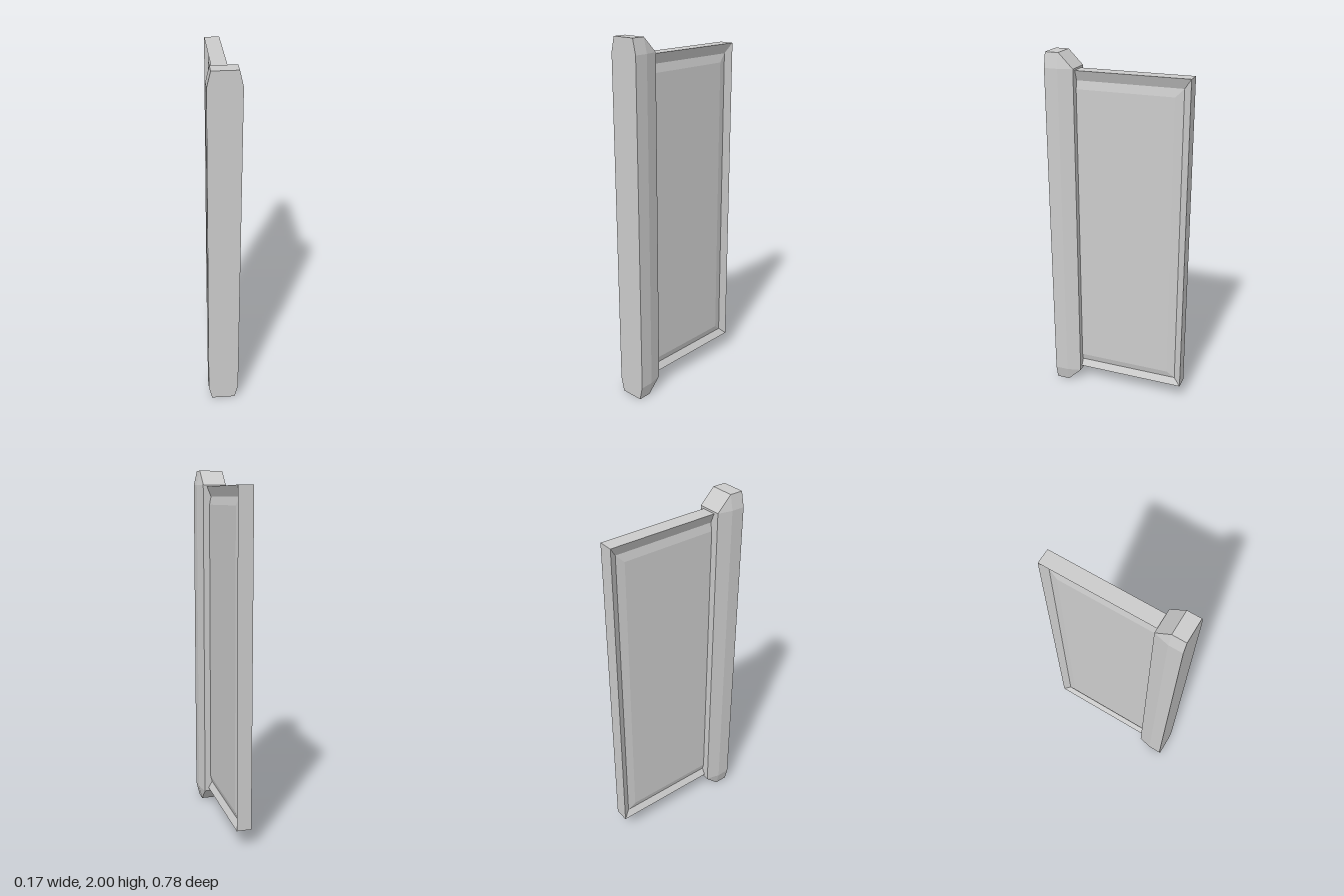
import * as THREE from 'three';
import { ConvexGeometry } from 'three/addons/geometries/ConvexGeometry.js';

const material = new THREE.MeshStandardMaterial({ color: 0xcccccc, flatShading: true });

// Edge post: octagonal front slab tapering to a smaller rectangle at the back
function postGeometry() {
  const points = [];
  for (const sx of [-1, 1]) {
    for (const sy of [-1, 1]) {
      const add = (x, y, z) => points.push(new THREE.Vector3(sx * x, 1 + sy * y, z));
      for (const z of [0.39, 0.315]) {
        add(0.085, 0.92, z);
        add(0.066, 1, z);
      }
      add(0.066, 0.92, 0.235);
    }
  }
  return new ConvexGeometry(points);
}

// Panel: rings lofted along x, open where they meet the post
function panelGeometry() {
  const front = 0.24, centre = 0.003;
  // half thickness, bottom, top, back: raised field, groove, outer rim
  const steps = [
    [0.027, 0.175, 1.81, -0.305],
    [0.018, 0.138, 1.855, -0.35],
    [0.041, 0.1, 1.91, -0.39],
  ];
  const ring = (side, [half, y0, y1, back]) => {
    const x = centre + side * half;
    return [[x, y0, front], [x, y0, back], [x, y1, back], [x, y1, front]];
  };
  const rings = [
    ...steps.map((s) => ring(-1, s)),
    ...[...steps].reverse().map((s) => ring(1, s)),
  ];
  const positions = [];
  const quad = (a, b, c, d) => positions.push(...a, ...b, ...c, ...a, ...c, ...d);
  for (let i = 0; i < rings.length - 1; i++) {
    const p = rings[i], q = rings[i + 1];
    for (let j = 0; j < 3; j++) quad(p[j], p[j + 1], q[j + 1], q[j]);
  }
  quad(...[...rings[0]].reverse());
  quad(...rings[rings.length - 1]);
  const geometry = new THREE.BufferGeometry();
  geometry.setAttribute('position', new THREE.Float32BufferAttribute(positions, 3));
  geometry.computeVertexNormals();
  return geometry;
}

export function createModel() {
  const group = new THREE.Group();
  group.name = 'panelWithPost';
  const add = (name, geometry) => {
    const mesh = new THREE.Mesh(geometry, material);
    mesh.name = name;
    group.add(mesh);
  };
  add('edgePost', postGeometry());
  add('framedPanel', panelGeometry());
  return group;
}
